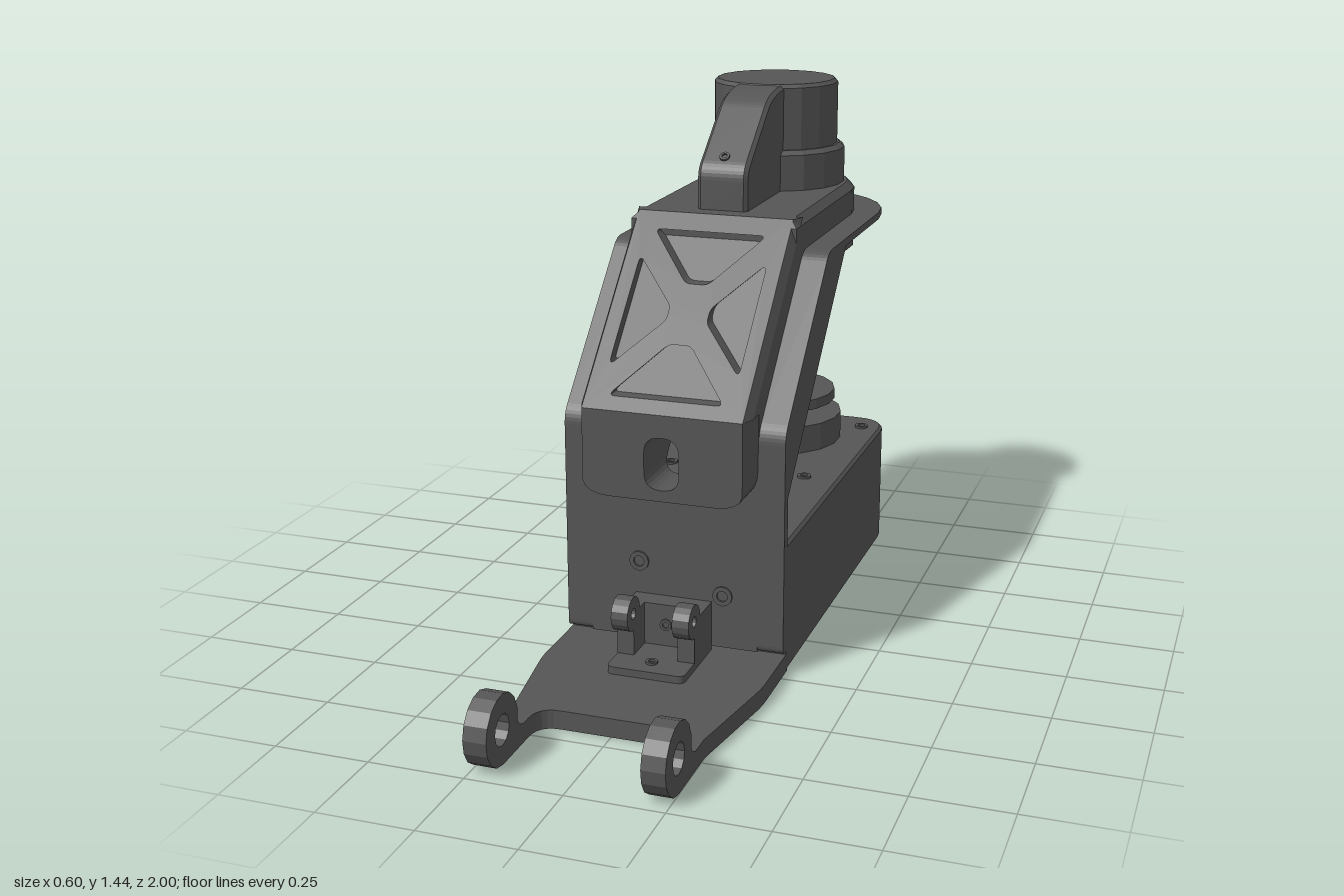
import * as THREE from 'three';

const mat = new THREE.MeshStandardMaterial({ color: 0x555555, flatShading: true });

// Closed outline; each point is [x, y, cornerRadius]
function outline(pts, Kind = THREE.Shape) {
  const s = new Kind();
  const n = pts.length;
  pts.forEach(([x, y, r = 0], i) => {
    const p = new THREE.Vector2(x, y);
    const toward = (q) => new THREE.Vector2(q[0], q[1]).sub(p).setLength(r).add(p);
    const a = toward(pts[(i + n - 1) % n]);
    const b = toward(pts[(i + 1) % n]);
    if (i === 0) s.moveTo(a.x, a.y); else s.lineTo(a.x, a.y);
    if (r > 0) s.quadraticCurveTo(x, y, b.x, b.y);
  });
  s.closePath();
  return s;
}

function circleHole(x, y, r) {
  return new THREE.Path().absarc(x, y, r, 0, Math.PI * 2, true);
}

function extrude(shape, depth, bevel = 0) {
  return new THREE.ExtrudeGeometry(shape, {
    depth: depth - 2 * bevel, curveSegments: 6, bevelEnabled: bevel > 0,
    bevelThickness: bevel, bevelSize: bevel, bevelOffset: -bevel, bevelSegments: 1,
  }).translate(0, 0, bevel);
}

// Side profile (z, y) spanning x0..x1
function sideways(shape, x0, x1, bevel = 0) {
  return extrude(shape, x1 - x0, bevel).rotateY(-Math.PI / 2).translate(x1, 0, 0);
}

// Plan outline (x, -z) spanning y0..y1
function upward(shape, y0, y1, bevel = 0) {
  return extrude(shape, y1 - y0, bevel).rotateX(-Math.PI / 2).translate(0, y0, 0);
}

// Front outline whose front and back faces follow z = f(y); front edges may be drawn in
function slab(shape, front, back, maxX = 1) {
  const g = extrude(shape, 1);
  const p = g.attributes.position;
  for (let i = 0; i < p.count; i++) {
    const y = p.getY(i);
    const isFront = p.getZ(i) > 0.5;
    p.setZ(i, isFront ? front(y) : back(y));
    if (isFront) p.setX(i, THREE.MathUtils.clamp(p.getX(i), -maxX, maxX));
  }
  g.computeVertexNormals();
  return g;
}

export function createModel() {
  const root = new THREE.Group();
  const add = (name, geo) => {
    const m = new THREE.Mesh(geo, mat);
    m.name = name;
    root.add(m);
    return m;
  };
  const axisZ = -0.655;
  const disc = (name, r, y0, y1, sides = 18) =>
    add(name, new THREE.CylinderGeometry(r, r, y1 - y0, sides).translate(0, (y0 + y1) / 2, axisZ));
  const screw = (name, r, x, y, z, rx) => {
    const s = new THREE.Shape().absarc(0, 0, r, 0, Math.PI * 2, false);
    s.holes.push(circleHole(0, 0, r * 0.55));
    const m = add(name, extrude(s, 0.006));
    m.position.set(x, y, z);
    m.rotation.x = rx;
  };
  const UP = -Math.PI / 2, DOWN = Math.PI / 2;

  // Base housing and front plate
  add('baseHousing', upward(outline([
    [-0.3, -0.21], [0.3, -0.21], [0.3, 0.9, 0.1], [-0.3, 0.9, 0.1]]), 0, 0.36, 0.008));
  add('basePlate', upward(outline([
    [-0.3, -0.2], [-0.3, -0.42, 0.04], [-0.25, -0.73], [-0.25, -0.8], [-0.19, -0.8], [-0.19, -0.7, 0.06],
    [0.19, -0.7, 0.06], [0.19, -0.8], [0.25, -0.8], [0.25, -0.73], [0.3, -0.42, 0.04], [0.3, -0.2]]), 0, 0.05));

  // Eyelets at the ends of the plate arms
  const eye = new THREE.Shape();
  eye.moveTo(0.78, 0);
  eye.lineTo(0.91, 0);
  eye.absarc(0.91, 0.09, 0.09, -Math.PI / 2, Math.PI * 1.06, false);
  eye.quadraticCurveTo(0.81, 0.05, 0.78, 0.05);
  eye.closePath();
  eye.holes.push(circleHole(0.91, 0.09, 0.04));
  for (const x0 of [-0.25, 0.19]) add('eyelet', sideways(eye, x0, x0 + 0.06));

  // Hinge bracket
  add('hingeFoot', upward(outline([
    [-0.105, -0.24], [-0.105, -0.465, 0.02], [0.105, -0.465, 0.02], [0.105, -0.24]]), 0.05, 0.07));
  add('hingeBlock', sideways(outline([[0.24, 0.05], [0.3, 0.05], [0.3, 0.185], [0.24, 0.185]]), -0.06, 0.06));
  const lug = new THREE.Shape();
  lug.moveTo(0.24, 0.06);
  lug.lineTo(0.38, 0.06);
  lug.lineTo(0.38, 0.14);
  lug.absarc(0.38, 0.185, 0.046, -Math.PI / 2, Math.PI, false);
  lug.lineTo(0.24, 0.185);
  lug.closePath();
  lug.holes.push(circleHole(0.38, 0.185, 0.015));
  for (const x0 of [-0.105, 0.06]) add('hingeLug', sideways(lug, x0, x0 + 0.045));
  screw('hingeScrew', 0.016, 0, 0.13, 0.3, 0);
  screw('footScrew', 0.016, 0, 0.07, 0.41, UP);

  // Upright bracket with its slanted web
  add('bracketUpright', new THREE.BoxGeometry(0.46, 0.42, 0.03).translate(0, 0.27, 0.225));
  const flank = outline([[0.24, 0.06, 0.02], [0.24, 0.66, 0.03], [-0.15, 1.05, 0.03], [-0.33, 1.05],
    [-0.33, 1.03], [0.21, 0.485], [0.21, 0.06]]);
  for (const x0 of [-0.3, 0.23]) add('bracketFlank', sideways(flank, x0, x0 + 0.07));
  const slot = () => outline([
    [-0.047, 0.51, 0.045], [0.047, 0.51, 0.045], [0.047, 0.65, 0.045], [-0.047, 0.65, 0.045]], THREE.Path);
  const inner = (y) => 0.7 - y;
  const web = outline([[-0.23, 0.48], [0.23, 0.48], [0.23, 0.71], [-0.23, 0.71]]);
  web.holes.push(slot());
  add('bracketWeb', slab(web, () => 0.24, inner));
  const plate = new THREE.Shape();
  plate.moveTo(-0.3, 0.33);
  plate.lineTo(0.3, 0.33);
  plate.absarc(0, 0.7, 0.3, 0, Math.PI, false);
  plate.closePath();
  add('bracketTop', upward(plate, 1.03, 1.05));
  for (const [x, y] of [[-0.095, 0.275], [0.135, 0.205], [-0.1, 0.13]]) screw('bracketScrew', 0.027, x, y, 0.24, 0);
  for (const x of [-0.14, 0.14]) {
    for (const y of [0.58, 0.92]) {
      const s = new THREE.Mesh(new THREE.CylinderGeometry(0.025, 0.025, 0.012, 10), mat);
      s.name = 'webScrew';
      s.position.set(x, y, 0.7 - y);
      s.rotation.x = Math.PI / 4;
      root.add(s);
    }
  }

  // Arm cover: lower part, ribbed slope, flat top
  const lower = outline([[-0.23, 0.48, 0.085], [0.23, 0.48, 0.085], [0.23, 0.71], [-0.23, 0.71]]);
  lower.holes.push(slot());
  add('coverLower', slab(lower, () => 0.33, () => 0.23, 0.215));
  add('coverCore', slab(outline([[-0.23, 0.71], [0.23, 0.71], [0.23, 1.1], [-0.23, 1.1]]), (y) => 1 - y, inner));
  const frame = outline([[-0.23, 0.71], [0.23, 0.71], [0.23, 1.14], [-0.23, 1.14]]);
  for (const s of [-1, 1]) {
    frame.holes.push(outline([[-0.155, 0.92 + s * 0.18, 0.02], [0.155, 0.92 + s * 0.18, 0.02],
      [0.03, 0.92 + s * 0.065, 0.015], [-0.03, 0.92 + s * 0.065, 0.015]], THREE.Path));
    frame.holes.push(outline([[s * 0.175, 0.8, 0.02], [s * 0.175, 1.04, 0.02],
      [s * 0.055, 0.935, 0.012], [s * 0.055, 0.905, 0.012]], THREE.Path));
  }
  add('coverRibs', slab(frame, (y) => 1.04 - y, (y) => 1 - y, 0.215));
  const top = new THREE.Shape();
  top.moveTo(-0.23, 0.08);
  top.lineTo(0.23, 0.08);
  top.absarc(0, -axisZ, 0.23, 0, Math.PI, false);
  top.closePath();
  add('coverTop', upward(top, 1.03, 1.14, 0.02));

  // Upper motor with cable fin
  disc('motorCollar', 0.2, 1.13, 1.24);
  add('collarChamfer', new THREE.CylinderGeometry(0.185, 0.2, 0.012, 18).translate(0, 1.246, axisZ));
  disc('motorCap', 0.178, 1.24, 1.425);
  add('capChamfer', new THREE.CylinderGeometry(0.168, 0.178, 0.01, 18).translate(0, 1.43, axisZ));
  add('cableFin', sideways(outline([[-0.155, 1.12], [-0.155, 1.25, 0.03], [-0.36, 1.41, 0.03], [-0.44, 1.432, 0.05],
    [-0.62, 1.432], [-0.62, 1.12]]), -0.07, 0.07, 0.01));
  screw('finScrew', 0.014, 0, 1.28, -0.18, -0.9);

  // Facing pair of rotors
  disc('upperHub', 0.055, 1.015, 1.035);
  disc('upperRotor', 0.23, 0.95, 1.02);
  disc('lowerStator', 0.205, 0.35, 0.44);
  disc('lowerHub', 0.055, 0.44, 0.485);
  disc('lowerRotor', 0.185, 0.48, 0.51);
  screw('rotorPin', 0.02, 0, 0.51, axisZ, UP);
  for (let i = 0; i < 4; i++) {
    const a = Math.PI / 4 + i * Math.PI / 2;
    const x = 0.13 * Math.cos(a), z = axisZ + 0.13 * Math.sin(a);
    screw('lowerRotorScrew', 0.014, x, 0.51, z, UP);
    screw('upperRotorScrew', 0.014, x, 0.95, z, DOWN);
  }

  // Housing screws, top and underside
  for (const [x, z] of [[0.24, -0.8], [-0.24, -0.8], [0.2, -0.3], [-0.2, -0.3]]) screw('lidScrew', 0.02, x, 0.36, z, UP);
  for (let i = 0; i < 6; i++) {
    const a = i * Math.PI / 3;
    screw('baseScrew', 0.016, 0.14 * Math.cos(a), 0.005, axisZ + 0.14 * Math.sin(a), DOWN);
  }
  screw('basePin', 0.04, 0, 0.005, axisZ, DOWN);
  return root;
}
